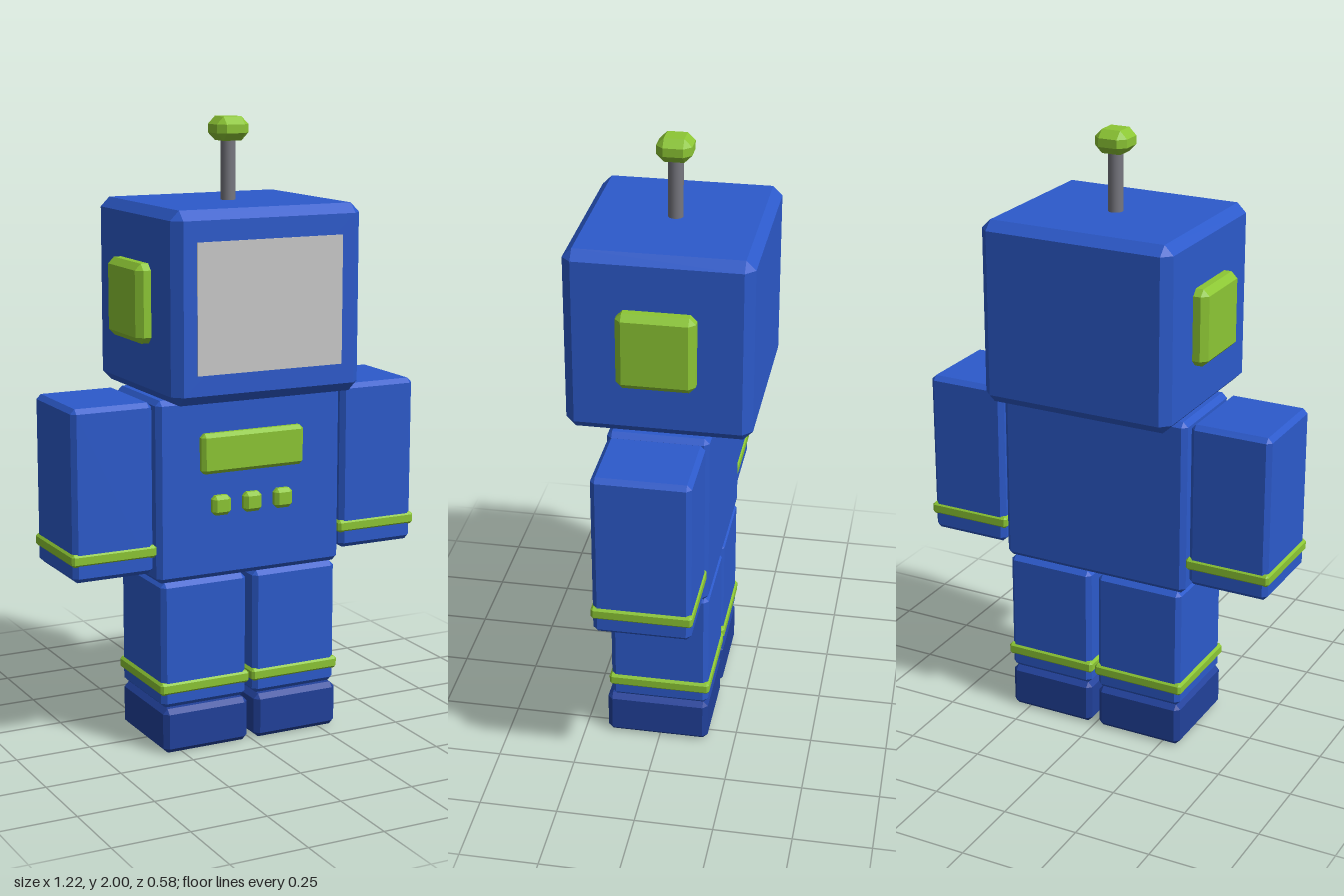
import * as THREE from 'three';
import { ConvexGeometry } from 'three/addons/geometries/ConvexGeometry.js';

const material = (name, color) => {
  const m = new THREE.MeshStandardMaterial({ color });
  m.name = name;
  return m;
};

// Box with chamfered edges: three corner points per box corner, wrapped in a hull
function chamferBox(w, h, d, c) {
  const points = [];
  for (const sx of [-1, 1]) for (const sy of [-1, 1]) for (const sz of [-1, 1]) {
    const x = w / 2, y = h / 2, z = d / 2;
    points.push(
      new THREE.Vector3(sx * x, sy * (y - c), sz * (z - c)),
      new THREE.Vector3(sx * (x - c), sy * y, sz * (z - c)),
      new THREE.Vector3(sx * (x - c), sy * (y - c), sz * z)
    );
  }
  return new ConvexGeometry(points);
}

export function createModel() {
  const blue = material('body blue', 0x2c5acb);
  const navy = material('foot navy', 0x21419b);
  const green = material('accent green', 0x8cc634);
  const silver = material('screen grey', 0xc9c9c9);
  const steel = material('antenna grey', 0x77777f);

  const robot = new THREE.Group();
  robot.name = 'robot';

  const add = (parent, name, geometry, mat, x, y, z) => {
    const mesh = new THREE.Mesh(geometry, mat);
    mesh.name = name;
    mesh.position.set(x, y, z);
    parent.add(mesh);
  };
  // Chamfered block given by its extents on each axis
  const block = (parent, name, mat, [x0, x1], [y0, y1], [z0, z1], c) =>
    add(parent, name, chamferBox(x1 - x0, y1 - y0, z1 - z0, c), mat,
      (x0 + x1) / 2, (y0 + y1) / 2, (z0 + z1) / 2);

  // Head with screen and antenna
  const head = new THREE.Group();
  head.name = 'head';
  robot.add(head);
  block(head, 'headBox', blue, [-0.325, 0.325], [1.147, 1.74], [-0.29, 0.29], 0.03);
  add(head, 'screen', new THREE.BoxGeometry(0.5, 0.405, 0.006), silver, 0, 1.443, 0.29);
  add(head, 'antennaRod', new THREE.CylinderGeometry(0.024, 0.024, 0.21, 20), steel, 0, 1.835, 0);
  block(head, 'antennaTip', green, [-0.055, 0.055], [1.925, 2], [-0.055, 0.055], 0.024);

  // Torso with chest panel and buttons
  block(robot, 'torso', blue, [-0.325, 0.325], [0.56, 1.145], [-0.16, 0.16], 0.016);
  block(robot, 'chestPanel', green, [-0.18, 0.18], [0.903, 1.032], [0.135, 0.185], 0.012);
  for (const x of [-0.11, 0, 0.11])
    block(robot, 'chestButton', green, [x - 0.032, x + 0.032], [0.766, 0.83], [0.135, 0.185], 0.012);

  // Mirrored ears, arms and legs
  for (const [side, s] of [['left', 1], ['right', -1]]) {
    const span = (a, b) => (s > 0 ? [a, b] : [-b, -a]);
    const arm = new THREE.Group();
    arm.name = side + 'Arm';
    const leg = new THREE.Group();
    leg.name = side + 'Leg';
    robot.add(arm, leg);

    block(head, side + 'Ear', green, span(0.29, 0.37), [1.32, 1.567], [-0.122, 0.122], 0.02);

    block(arm, side + 'ArmBox', blue, span(0.335, 0.605), [0.597, 1.143], [-0.153, 0.153], 0.015);
    block(arm, side + 'ArmBand', green, span(0.327, 0.612), [0.65, 0.69], [-0.158, 0.158], 0.008);

    block(leg, side + 'LegBox', blue, span(0.013, 0.312), [0.148, 0.56], [-0.16, 0.16], 0.015);
    block(leg, side + 'LegBand', green, span(0.005, 0.32), [0.193, 0.233], [-0.166, 0.166], 0.008);
    block(leg, side + 'Foot', navy, span(0.013, 0.312), [0, 0.147], [-0.16, 0.175], 0.016);
  }
  return robot;
}
